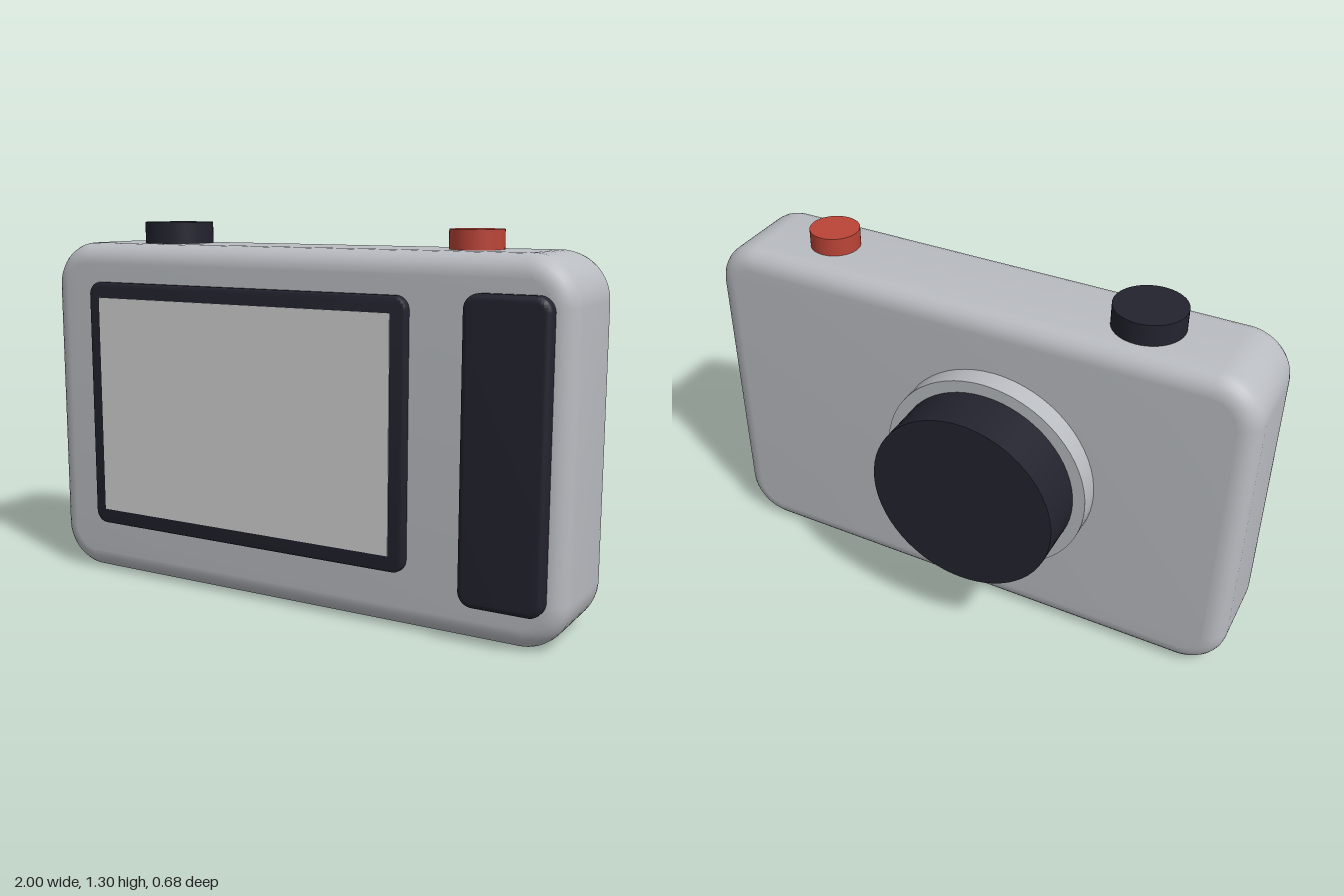
import * as THREE from 'three';
import { toCreasedNormals } from 'three/addons/utils/BufferGeometryUtils.js';

const material = (name, color) => {
  const m = new THREE.MeshStandardMaterial({ color });
  m.name = name;
  return m;
};

// Rounded rectangle outline from edge coordinates
function roundedRect(x0, x1, y0, y1, r) {
  const s = new THREE.Shape();
  s.absarc(x1 - r, y0 + r, r, -Math.PI / 2, 0);
  s.absarc(x1 - r, y1 - r, r, 0, Math.PI / 2);
  s.absarc(x0 + r, y1 - r, r, Math.PI / 2, Math.PI);
  s.absarc(x0 + r, y0 + r, r, Math.PI, Math.PI * 1.5);
  s.closePath();
  return s;
}

// Rounded slab spanning z0..z1, with softened front and back edges
function slab(x0, x1, y0, y1, z0, z1, r, bevel) {
  const shape = roundedRect(x0 + bevel, x1 - bevel, y0 + bevel, y1 - bevel, r - bevel);
  const g = new THREE.ExtrudeGeometry(shape, {
    depth: z1 - z0 - 2 * bevel, curveSegments: 8,
    bevelEnabled: bevel > 0, bevelThickness: bevel, bevelSize: bevel, bevelSegments: 6
  });
  g.translate(0, 0, z0 + bevel);
  return toCreasedNormals(g, 0.6);
}

export function createModel() {
  const group = new THREE.Group();
  group.name = 'camera';
  const silver = material('silver body', 0xb9bcc1);
  const dark = material('dark trim', 0x23232f);
  const grey = material('screen grey', 0xd2d2d2);
  const red = material('shutter red', 0xbb4437);

  const add = (name, geometry, mat) => {
    const mesh = new THREE.Mesh(geometry, mat);
    mesh.name = name;
    group.add(mesh);
    return mesh;
  };

  // Body, screen and grip
  add('body', slab(-1, 1, 0, 1.222, -0.09, 0.3, 0.16, 0.07), silver);
  add('screenFrame', slab(-0.808, 0.47, 0.192, 1.084, 0.28, 0.325, 0.045, 0.012), dark);
  const screen = add('screen', new THREE.BoxGeometry(1.174, 0.782, 0.006), grey);
  screen.position.set(-0.172, 0.638, 0.325);
  add('grip', slab(0.66, 0.942, 0.125, 1.102, 0.27, 0.34, 0.05, 0.02), dark);

  // Lens mount and barrel, pointing backwards
  const lens = (name, r, z0, z1, mat) => {
    const g = new THREE.CylinderGeometry(r, r, z1 - z0, 64);
    g.rotateX(-Math.PI / 2);
    add(name, g, mat).position.set(-0.114, 0.638, (z0 + z1) / 2);
  };
  lens('lensMount', 0.377, -0.165, -0.05, silver);
  lens('lensBarrel', 0.333, -0.34, -0.12, dark);

  // Top controls
  const button = (name, x, r, top, mat) => {
    const h = top - 1.18;
    add(name, new THREE.CylinderGeometry(r, r, h, 48), mat).position.set(x, 1.18 + h / 2, 0.105);
  };
  button('modeDial', -0.56, 0.122, 1.297, dark);
  button('shutterButton', 0.608, 0.088, 1.286, red);

  return group;
}
